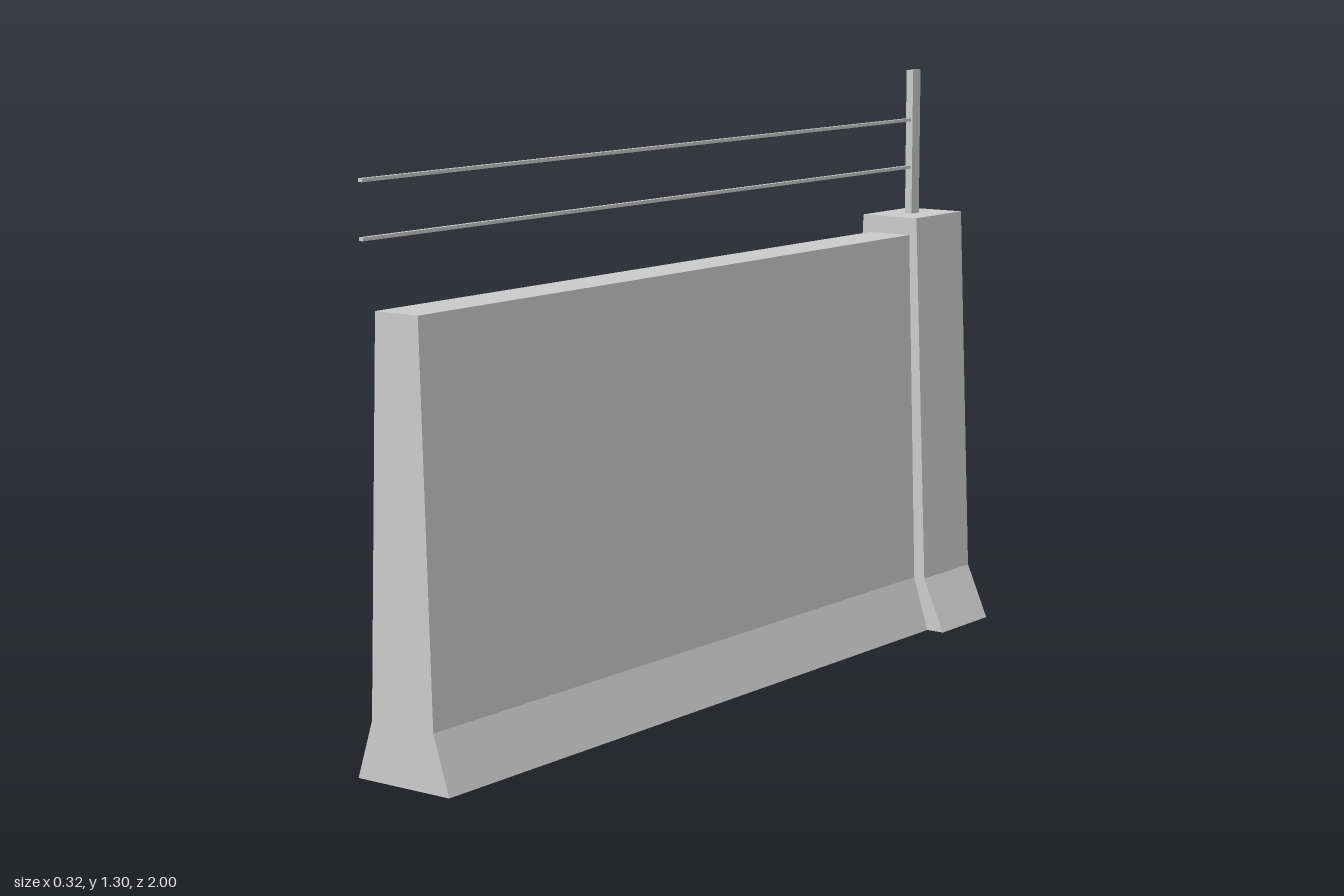
import * as THREE from 'three';

const concrete = new THREE.MeshStandardMaterial({ color: 0xcccccc, flatShading: true });

// Flared barrier section: half-widths at base, kink and top, extruded from z0 to z1
function barrier(name, base, kink, top, kinkY, height, z0, z1) {
  const right = [[base, 0], [kink, kinkY], [top, height]];
  const left = right.map(([x, y]) => [-x, y]).reverse();
  const shape = new THREE.Shape([...right, ...left].map(([x, y]) => new THREE.Vector2(x, y)));
  const geometry = new THREE.ExtrudeGeometry(shape, { depth: z1 - z0, bevelEnabled: false });
  geometry.translate(0, 0, z0);
  const mesh = new THREE.Mesh(geometry, concrete);
  mesh.name = name;
  return mesh;
}

function box(name, w, h, d, y, z) {
  const mesh = new THREE.Mesh(new THREE.BoxGeometry(w, h, d), concrete);
  mesh.name = name;
  mesh.position.set(0, y, z);
  return mesh;
}

export function createModel() {
  const model = new THREE.Group();
  model.name = 'concreteBarrier';

  // Long wall and the thicker pier at its back end
  model.add(barrier('wall', 0.117, 0.079, 0.054, 0.122, 0.928, -0.805, 0.905));
  model.add(barrier('pier', 0.16, 0.107, 0.073, 0.122, 0.968, -1, -0.805));

  // Railing post on the pier
  model.add(box('railPost', 0.018, 0.334, 0.032, 1.135, -0.9));

  // Two thin rails running forward from the post
  for (const [name, y] of [['lowerRail', 1.077], ['upperRail', 1.187]]) {
    model.add(box(name, 0.01, 0.007, 1.885, y, 0.0575));
  }
  return model;
}
